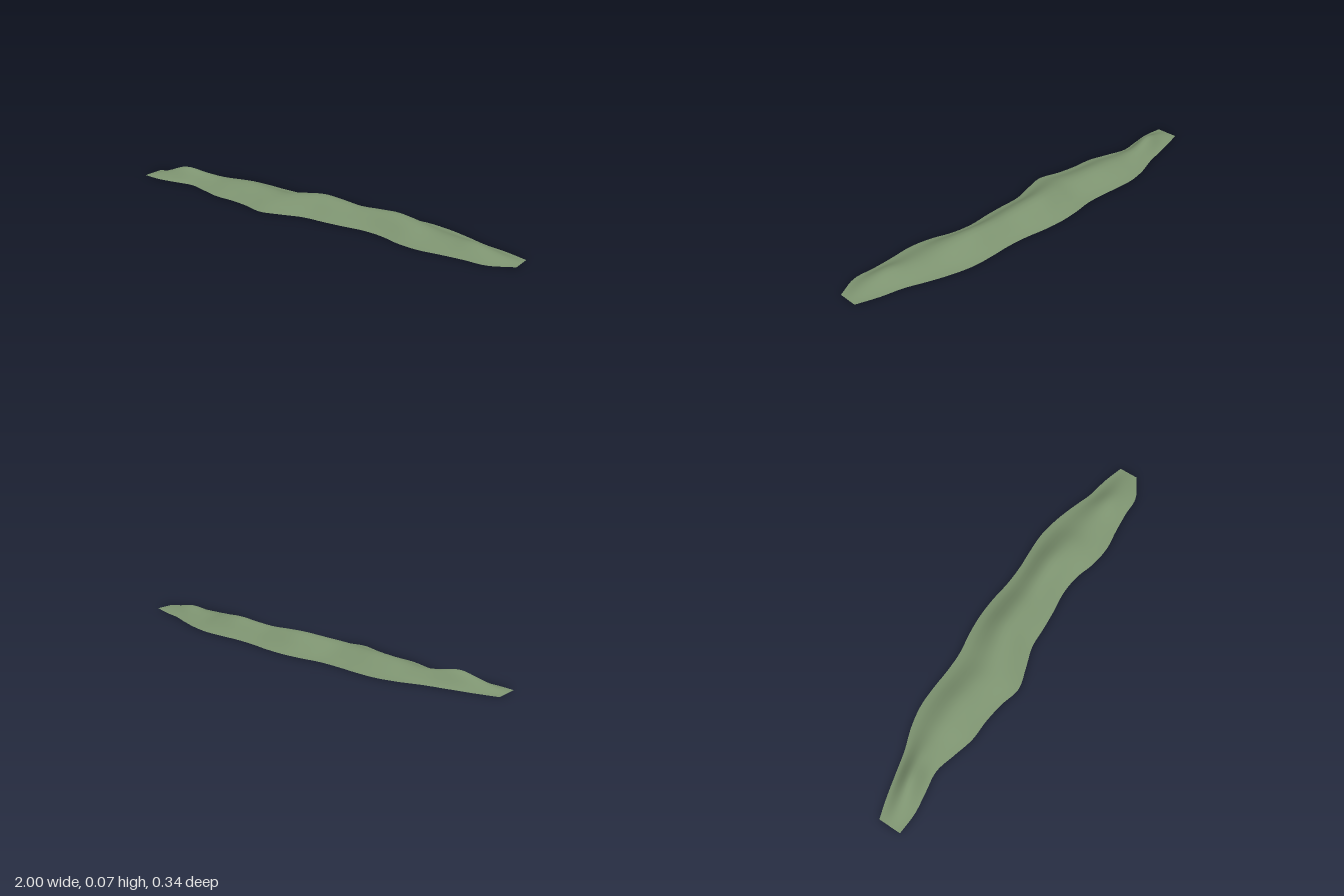
import * as THREE from 'three';

// Stations at equal steps from x = -1 to x = 1: back edge z, front edge z, ridge height
const STATIONS = [
  [-0.02, 0.087, 0], [-0.05, 0.093, 0.028], [-0.075, 0.08, 0.06], [-0.1, 0.067, 0.045],
  [-0.135, 0.093, 0.037], [-0.155, 0.12, 0.045], [-0.155, 0.125, 0.05], [-0.148, 0.14, 0.046],
  [-0.148, 0.165, 0.045], [-0.163, 0.14, 0.058], [-0.17, 0.11, 0.068], [-0.165, 0.106, 0.063],
  [-0.152, 0.1, 0.055], [-0.148, 0.09, 0.06], [-0.153, 0.1, 0.065], [-0.153, 0.13, 0.053],
  [-0.135, 0.142, 0.034], [-0.105, 0.132, 0.033], [-0.07, 0.125, 0.04], [-0.05, 0.122, 0.02],
  [-0.02, 0.07, 0],
];

export function createModel() {
  const group = new THREE.Group();
  group.name = 'ridge';

  const grass = new THREE.MeshStandardMaterial({ color: 0x7d9370, side: THREE.DoubleSide });
  grass.name = 'mossy green';

  const outline = new THREE.CatmullRomCurve3(
    STATIONS.map((s) => new THREE.Vector3(...s)), false, 'catmullrom', 0.5);

  // Open sheet bent into a bell-shaped mound at every station
  const geometry = new THREE.PlaneGeometry(2, 2, 100, 12).rotateX(-Math.PI / 2);
  const position = geometry.attributes.position;
  const station = new THREE.Vector3();
  for (let i = 0; i < position.count; i++) {
    const x = position.getX(i);
    const across = position.getZ(i); // -1 at the back edge, 1 at the front edge
    outline.getPoint(THREE.MathUtils.clamp((x + 1) / 2, 0, 1), station);
    const { x: back, y: front, z: height } = station;
    const bell = Math.max(0, Math.cos(across * Math.PI / 2)) ** (across > 0 ? 1.7 : 2);
    position.setY(i, Math.max(0, height) * bell);
    position.setZ(i, (back + front) / 2 + across * (front - back) / 2);
  }
  geometry.computeVertexNormals();

  const mound = new THREE.Mesh(geometry, grass);
  mound.name = 'mound';
  group.add(mound);
  return group;
}
